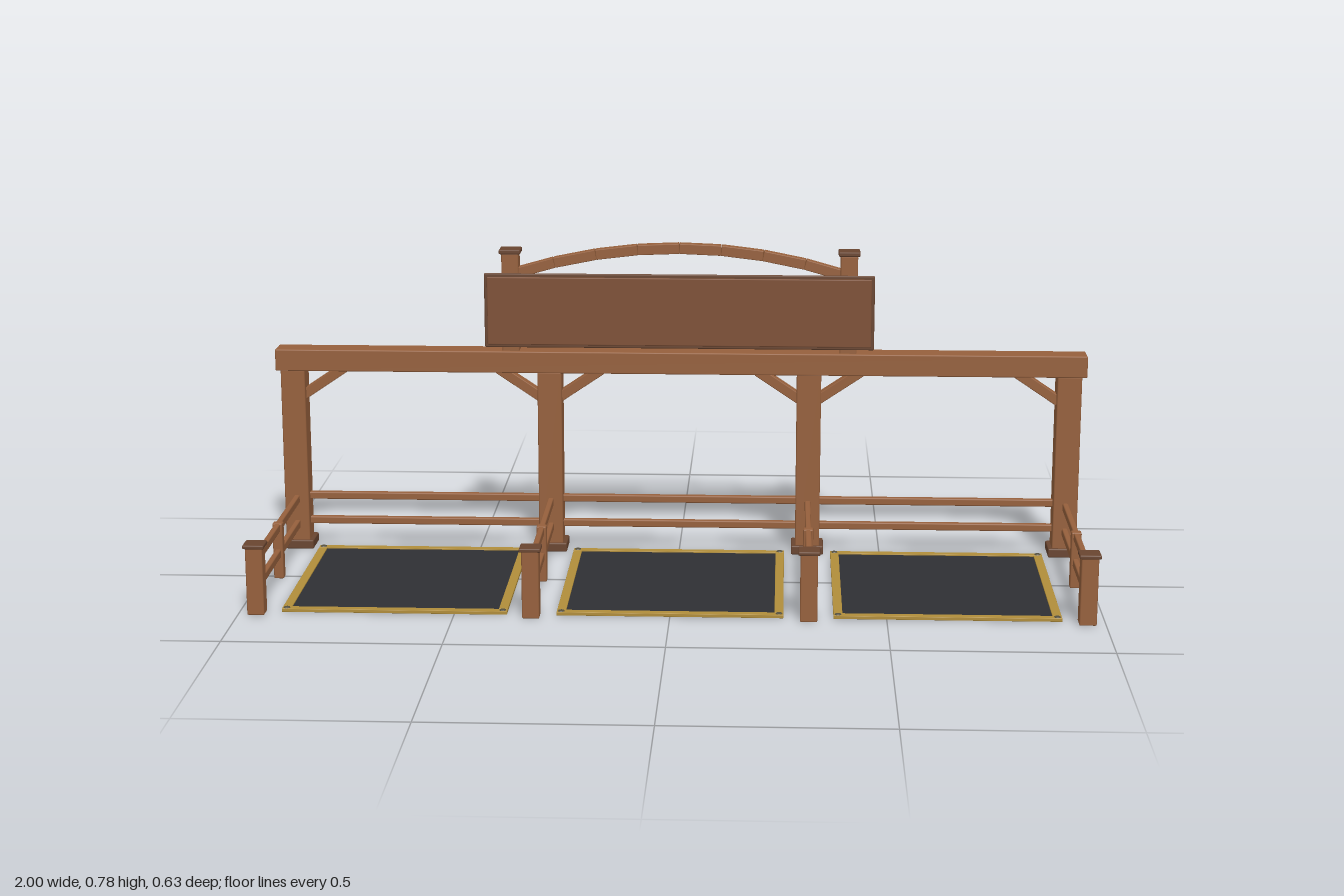
import * as THREE from 'three';
import { RoundedBoxGeometry } from 'three/addons/geometries/RoundedBoxGeometry.js';

const paint = (color) => new THREE.MeshStandardMaterial({ color });

export function createModel() {
  const model = new THREE.Group();
  const wood = paint(0x96603c);
  const darkWood = paint(0x694530);
  const signWood = paint(0x7d4f35);
  const gold = paint(0xb08d3a);
  const rubber = paint(0x2f3034);
  const metal = paint(0x55503f);

  // Box with slightly eased edges, placed by its centre
  function block(name, size, pos, material, parent = model, ease = 0.003) {
    const radius = Math.min(ease, Math.min(...size) * 0.3);
    const mesh = new THREE.Mesh(new RoundedBoxGeometry(...size, 1, radius), material);
    mesh.name = name;
    mesh.position.set(...pos);
    parent.add(mesh);
    return mesh;
  }

  // Bar between two points in a plane of constant z
  function bar(name, a, b, z, thick, depth, material, parent) {
    const dx = b[0] - a[0], dy = b[1] - a[1];
    const mesh = block(name, [Math.hypot(dx, dy), thick, depth],
      [(a[0] + b[0]) / 2, (a[1] + b[1]) / 2, z], material, parent, 0.002);
    mesh.rotation.z = Math.atan2(dy, dx);
    return mesh;
  }

  const backZ = -0.274, frontZ = 0.289, midZ = 0.008;
  const postX = [-0.958, -0.32, 0.32, 0.958];
  const railY = [0.063, 0.127];

  // Top beam
  block('topBeam', [2, 0.054, 0.064], [0, 0.483, backZ], wood);

  // Post lines: tall back post, side fence and short front post
  postX.forEach((x, i) => {
    const line = new THREE.Group();
    line.name = 'postLine';
    model.add(line);
    block('backPost', [0.06, 0.456, 0.06], [x, 0.23, backZ], wood, line);
    block('postBase', [0.08, 0.022, 0.078], [x, 0.011, backZ], darkWood, line);
    block('frontPost', [0.04, 0.162, 0.038], [x, 0.081, frontZ], wood, line);
    block('frontPostCap', [0.05, 0.009, 0.05], [x, 0.1645, frontZ], darkWood, line);
    block('fencePost', [0.024, 0.138, 0.024], [x, 0.069, midZ], wood, line);
    for (const y of railY) {
      block('sideRail', [0.014, 0.02, 0.53], [x, y, 0.015], wood, line);
    }
    // Diagonal braces under the beam, only toward a neighbouring post
    for (const s of [-1, 1]) {
      if (i + s < 0 || i + s > 3) continue;
      bar('brace', [x + s * 0.018, 0.388], [x + s * 0.128, 0.462], backZ, 0.024, 0.03, wood, line);
    }
  });

  // Bays: back rails and framed floor mats
  for (const x of [-0.64, 0, 0.64]) {
    for (const y of railY) {
      block('backRail', [0.6, 0.018, 0.018], [x, y + 0.004, backZ], wood);
    }
    const mat = new THREE.Group();
    mat.name = 'floorMat';
    mat.position.set(x, 0, 0.018);
    model.add(mat);
    block('matPad', [0.49, 0.005, 0.49], [0, 0.0027, 0], rubber, mat, 0.001);
    for (const s of [-1, 1]) {
      block('matSideTrim', [0.021, 0.008, 0.484], [s * 0.252, 0.004, 0], gold, mat, 0.001);
      block('matEndTrim', [0.525, 0.008, 0.021], [0, 0.004, s * 0.252], gold, mat, 0.001);
      for (const t of [-1, 1]) {
        const bolt = new THREE.Mesh(new THREE.CylinderGeometry(0.007, 0.008, 0.002, 10), metal);
        bolt.name = 'matBolt';
        bolt.position.set(s * 0.252, 0.0088, t * 0.252);
        mat.add(bolt);
      }
    }
  }

  // Sign: two posts with caps and a layered board
  for (const x of [-0.415, 0.415]) {
    block('signPost', [0.042, 0.246, 0.042], [x, 0.629, backZ], wood);
    block('signPostCap', [0.053, 0.011, 0.053], [x, 0.757, backZ], darkWood);
  }
  block('signBackboard', [0.955, 0.184, 0.01], [0, 0.614, -0.242], darkWood);
  block('signPanel', [0.94, 0.168, 0.008], [0, 0.614, -0.234], signWood);
  for (const s of [-1, 1]) {
    block('signBracket', [0.03, 0.1, 0.012], [s * 0.415, 0.614, -0.25], darkWood);
  }

  // Curved crest made of straight segments
  const arch = new THREE.Group();
  arch.name = 'archCrest';
  model.add(arch);
  const segments = 8;
  const archPoint = (i) => {
    const u = (2 * i) / segments - 1;
    return [u * 0.41, 0.766 - 0.066 * u * u];
  };
  for (let i = 0; i < segments; i++) {
    bar('archSegment', archPoint(i), archPoint(i + 1), backZ, 0.025, 0.027, wood, arch);
  }

  return model;
}
